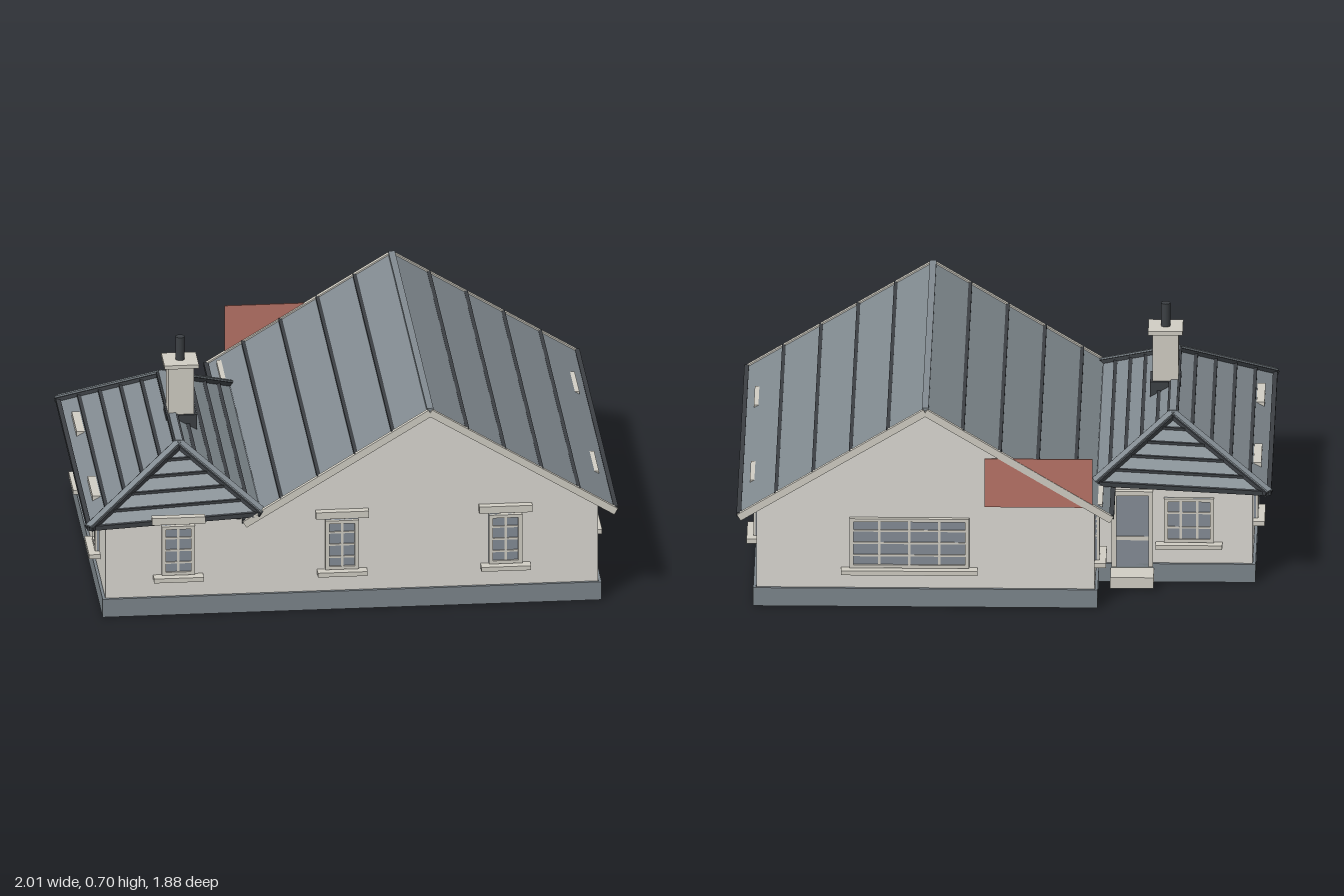
import * as THREE from 'three';

const mat = (name, color, side = THREE.FrontSide) => {
  const m = new THREE.MeshStandardMaterial({ color, side });
  m.name = name;
  return m;
};

export function createModel() {
  const render = mat('wallRender', 0xdcdad3, THREE.DoubleSide);
  const slate = mat('slate', 0x828b91, THREE.DoubleSide);
  const plinthGrey = mat('plinthGrey', 0x7d868c);
  const dark = mat('darkSeam', 0x3c4044);
  const trim = mat('stoneTrim', 0xd2cfc5);
  const glass = mat('windowGlass', 0x858d97);
  const cream = mat('creamBlind', 0xe2d8b0);
  const brick = mat('brickRed', 0xb97467, THREE.DoubleSide);

  const model = new THREE.Group();
  model.name = 'bungalow';
  const house = new THREE.Group();
  house.name = 'house';
  house.rotation.y = 0.746; // the plan stands diagonally
  model.add(house);

  const V = (x, y, z) => new THREE.Vector3(x, y, z);
  function add(parent, name, geo, material) {
    const m = new THREE.Mesh(geo, material);
    m.name = name;
    parent.add(m);
    return m;
  }
  function box(parent, name, material, w, h, d, x, y, z) {
    const m = add(parent, name, new THREE.BoxGeometry(w, h, d), material);
    m.position.set(x, y, z);
    return m;
  }
  // Bar of rectangular section between two points
  function beam(parent, name, material, a, b, w, h) {
    const m = new THREE.Mesh(new THREE.BoxGeometry(w, h, a.distanceTo(b)), material);
    m.position.copy(a).lerp(b, 0.5);
    m.lookAt(b);
    m.name = name;
    parent.add(m);
  }
  // Flat polygon from its corners, fanned from the first
  function panel(parent, name, material, pts) {
    const pos = [];
    for (let i = 1; i < pts.length - 1; i++)
      for (const p of [pts[0], pts[i], pts[i + 1]]) pos.push(p.x, p.y, p.z);
    const g = new THREE.BufferGeometry();
    g.setAttribute('position', new THREE.Float32BufferAttribute(pos, 3));
    g.computeVertexNormals();
    add(parent, name, g, material);
  }

  // Plan limits: main block and rear wing
  const L = -0.565, R = 0.665, F = 0.685, B = -0.33, WR = 0.44, WB = -0.8;
  const ridgeZ = 0.178, wallTop = 0.3;

  // Walls
  const walls = new THREE.Group();
  walls.name = 'walls';
  house.add(walls);
  const gable = (x) => [V(x, 0, F), V(x, 0.315, F), V(x, 0.622, ridgeZ), V(x, 0.315, B), V(x, 0, B)].reverse();
  panel(walls, 'leftGableWall', render, gable(L).reverse());
  panel(walls, 'rightGableWall', render, gable(R));
  const wall = (name, x0, z0, x1, z1, top) =>
    panel(walls, name, render, [V(x0, 0, z0), V(x1, 0, z1), V(x1, top, z1), V(x0, top, z0)]);
  wall('frontWall', L, F, R, F, 0.315);
  wall('backWall', R, B, WR, B, 0.315);
  wall('wingEndWall', WR, B, WR, WB, wallTop);
  wall('wingBackWall', WR, WB, L, WB, wallTop);
  wall('wingLeftWall', L, WB, L, B, wallTop);

  // Plinth band around the L-shaped plan
  const outline = (o) => [[L - o, F + o], [R + o, F + o], [R + o, B - o], [WR + o, B - o], [WR + o, WB - o], [L - o, WB - o]]
    .map(([x, z]) => new THREE.Vector2(x, -z));
  const band = new THREE.Shape(outline(0.01));
  band.holes.push(new THREE.Path(outline(0.001)));
  const plinthGeo = new THREE.ExtrudeGeometry(band, { depth: 0.058, bevelEnabled: false });
  plinthGeo.rotateX(-Math.PI / 2);
  add(house, 'plinth', plinthGeo, plinthGrey);

  // Roof slope with dark seams parallel to its eave (a-b), top edge c-d
  function slope(name, a, b, c, d, courses) {
    const g = new THREE.Group();
    g.name = name;
    house.add(g);
    panel(g, 'slateSlope', slate, c.equals(d) ? [a, b, c] : [a, b, c, d]);
    for (let i = 1; i < courses; i++) {
      const t = i / courses;
      beam(g, 'seam', dark, a.clone().lerp(d, t), b.clone().lerp(c, t), 0.011, 0.009);
    }
    beam(g, 'gutter', dark, a, b, 0.014, 0.014);
  }

  // Main gabled roof
  const x0 = -0.573, x1 = 0.679, eave = 0.294, top = 0.635;
  const r0 = V(x0, top, ridgeZ), r1 = V(x1, top, ridgeZ);
  const f0 = V(x0, eave, 0.738), f1 = V(x1, eave, 0.738);
  const b0 = V(x0, eave, -0.382), b1 = V(x1, eave, -0.382);
  slope('mainRoofFront', f0, f1, r1, r0, 5);
  slope('mainRoofBack', b1, b0, r0, r1, 5);
  beam(house, 'mainRidge', slate, r0, r1, 0.02, 0.01);
  for (const [a, b] of [[f0, r0], [b0, r0], [f1, r1], [b1, r1]])
    beam(house, 'verge', trim, a.clone().setY(a.y - 0.008), b.clone().setY(b.y - 0.008), 0.014, 0.022);

  // Hipped wing roof running into the main roof
  const hx1 = 0.457;
  const h0 = V(-0.33, 0.455, -0.557), h1 = V(0.225, 0.455, -0.557);
  const k0 = V(x0, 0.29, -0.85), k1 = V(hx1, 0.29, -0.85);
  const m0 = V(x0, 0.318, -0.325), m1 = V(hx1, 0.318, -0.325);
  slope('wingRoofBack', k1, k0, h0, h1, 5);
  slope('wingRoofInner', m0, m1, h1, h0, 5);
  slope('wingRoofLeft', k0, m0, h0, h0, 5);
  slope('wingRoofRight', m1, k1, h1, h1, 5);
  for (const [a, b] of [[k0, h0], [m0, h0], [k1, h1], [m1, h1], [h0, h1]]) {
    beam(house, 'hipCapEdge', dark, a, b, 0.034, 0.012);
    beam(house, 'hipCap', slate, a, b, 0.022, 0.022);
  }

  // Windows: built facing +z, then set on a wall
  function opening(name, x, z, turn) {
    const g = new THREE.Group();
    g.name = name;
    g.position.set(x, 0, z);
    g.rotation.y = turn;
    house.add(g);
    return g;
  }
  function windowAt(x, z, turn, w = 0.1, y0 = 0.13, y1 = 0.288, cols = 2, rows = 4, lintel = true) {
    const g = opening('window', x, z, turn);
    const h = y1 - y0, cy = (y0 + y1) / 2;
    box(g, 'glass', glass, w, h, 0.006, 0, cy, 0.004);
    box(g, 'blind', cream, w, h, 0.004, 0, cy, -0.004);
    for (const s of [-1, 1]) {
      box(g, 'jamb', trim, 0.012, h, 0.014, s * (w / 2 - 0.006), cy, 0.007);
      box(g, 'rail', trim, w, 0.01, 0.014, 0, cy + s * (h / 2 - 0.005), 0.007);
    }
    for (let i = 1; i < cols; i++)
      box(g, 'uprightBar', trim, 0.007, h, 0.01, (i / cols - 0.5) * w, cy, 0.006);
    for (let i = 1; i < rows; i++)
      box(g, 'crossBar', trim, w, 0.006, 0.01, 0, y0 + (i / rows) * h, 0.006);
    box(g, 'sill', trim, w + 0.05, 0.014, 0.034, 0, y0 - 0.009, 0.017);
    if (lintel) box(g, 'lintel', trim, w + 0.06, 0.022, 0.024, 0, y1 + 0.021, 0.012);
  }
  const H = Math.PI / 2;
  for (const z of [-0.582, -0.088, 0.405]) windowAt(L, z, -H);
  for (const x of [-0.258, 0.374]) windowAt(x, F, 0);
  for (const x of [-0.315, 0.198]) windowAt(x, WB, Math.PI);
  windowAt(0.562, B, Math.PI);
  windowAt(R, 0.226, H, 0.36, 0.125, 0.283, 4, 4, false);
  windowAt(WR, -0.61, H, 0.15, 0.128, 0.268, 3, 3, false);

  // Side door with step, in the corner between wing and main block
  const door = opening('door', WR, -0.44, H);
  box(door, 'doorLeaf', glass, 0.1, 0.23, 0.008, 0, 0.165, 0.006);
  for (const s of [-1, 1]) box(door, 'doorJamb', trim, 0.014, 0.24, 0.018, s * 0.055, 0.17, 0.009);
  box(door, 'doorHead', trim, 0.124, 0.014, 0.018, 0, 0.285, 0.009);
  box(door, 'doorRail', trim, 0.1, 0.012, 0.012, 0, 0.14, 0.007);
  box(door, 'doorStep', trim, 0.13, 0.035, 0.085, 0, 0.0275, 0.0525);

  // Chimney with cap and flue
  const cx = -0.075, cz = -0.53;
  box(house, 'chimneyFlashing', dark, 0.092, 0.05, 0.092, cx, 0.435, cz);
  box(house, 'chimneyStack', trim, 0.078, 0.3, 0.078, cx, 0.465, cz);
  box(house, 'chimneyCap', trim, 0.104, 0.012, 0.104, cx, 0.618, cz);
  const flue = add(house, 'flue', new THREE.CylinderGeometry(0.014, 0.014, 0.075, 12), dark);
  flue.position.set(cx, 0.66, cz);

  // Red panel on the right gable
  box(house, 'gablePanel', brick, 0.004, 0.155, 0.325, 0.682, 0.4025, -0.1625);

  return model;
}
